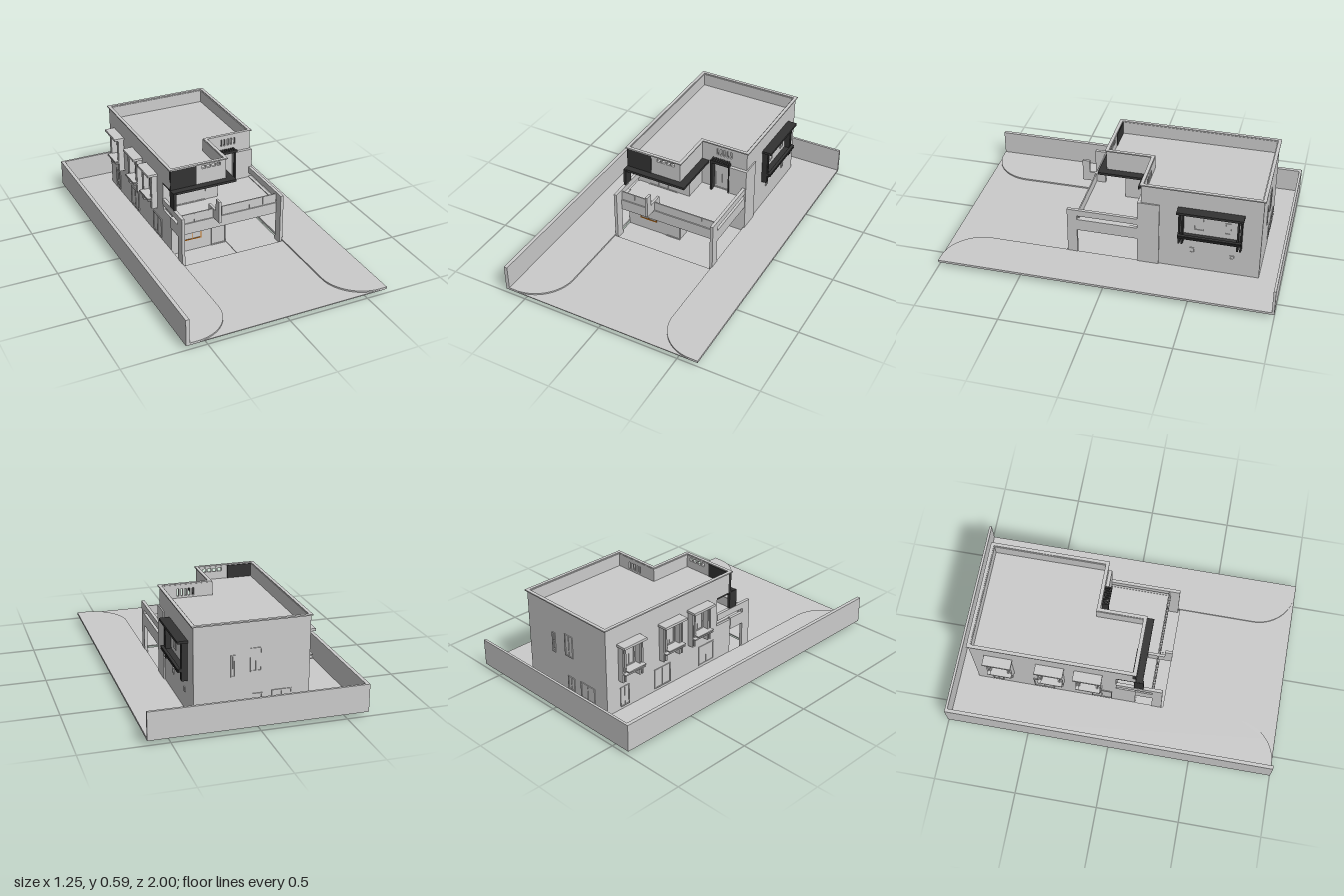
import * as THREE from 'three';

const grey = new THREE.MeshStandardMaterial({ color: 0xcccccc });
const dark = new THREE.MeshStandardMaterial({ color: 0x333333 });
const orange = new THREE.MeshStandardMaterial({ color: 0xc0701a });

export function createModel() {
  const root = new THREE.Group();

  function add(name, geo, mat = grey, parent = root) {
    const m = new THREE.Mesh(geo, mat);
    m.name = name;
    parent.add(m);
    return m;
  }
  // Box given by its limits
  function box(name, x0, x1, y0, y1, z0, z1, mat = grey, parent = root) {
    const g = new THREE.BoxGeometry(x1 - x0, y1 - y0, z1 - z0);
    g.translate((x0 + x1) / 2, (y0 + y1) / 2, (z0 + z1) / 2);
    return add(name, g, mat, parent);
  }
  // Plan outline (x, z) raised from y0 to y1
  function plan(name, shape, y0, y1) {
    const g = new THREE.ExtrudeGeometry(shape, { depth: y1 - y0, bevelEnabled: false, curveSegments: 16 });
    g.rotateX(-Math.PI / 2).translate(0, y0, 0);
    return add(name, g);
  }
  const pts = (list) => list.map(([x, z]) => new THREE.Vector2(x, -z));

  // Upright panel facing +z with rectangular openings [x0, x1, y0, y1]
  function piercedWall(name, x0, x1, y0, y1, z0, z1, holes) {
    const rect = (a, b, c, d) => [[a, c], [b, c], [b, d], [a, d]].map(([x, y]) => new THREE.Vector2(x, y));
    const s = new THREE.Shape(rect(x0, x1, y0, y1));
    for (const h of holes) s.holes.push(new THREE.Path(rect(...h)));
    const g = new THREE.ExtrudeGeometry(s, { depth: z1 - z0, bevelEnabled: false });
    add(name, g.translate(0, 0, z0));
  }

  // Framed window facing +z about its own centre, turned and placed on a wall
  function windowUnit(name, x, y, z, w, h, turn, mat = grey, panes = 2) {
    const g = new THREE.Group();
    g.name = name;
    const t = 0.006, d = 0.005;
    box('pane', -w / 2, w / 2, -h / 2, h / 2, -0.004, 0.001, grey, g);
    for (const s of [-1, 1]) {
      box('jamb', s * w / 2 - t / 2, s * w / 2 + t / 2, -h / 2, h / 2, -0.004, d, mat, g);
      box('rail', -w / 2 - t / 2, w / 2 + t / 2, s * h / 2 - t / 2, s * h / 2 + t / 2, -0.004, d, mat, g);
    }
    for (let i = 1; i < panes; i++) {
      const m = -w / 2 + (w * i) / panes;
      box('mullion', m - 0.002, m + 0.002, -h / 2, h / 2, -0.004, 0.004, mat, g);
    }
    g.position.set(x, y, z);
    g.rotation.y = turn;
    root.add(g);
  }

  // --- Site: driveway, raised lawn with rounded corners, boundary walls
  box('driveway', -0.627, 0.627, 0.027, 0.032, 0.29, 1);
  const lawn = new THREE.Shape();
  lawn.moveTo(-0.627, -1);
  lawn.lineTo(-0.56, -1);
  lawn.absarc(-0.56, -0.76, 0.24, -Math.PI / 2, 0, false);
  lawn.lineTo(-0.32, 0.87);
  lawn.lineTo(0.34, 0.87);
  lawn.lineTo(0.34, -0.76);
  lawn.absarc(0.58, -0.76, 0.24, Math.PI, Math.PI * 1.5, false);
  lawn.lineTo(0.627, -1);
  lawn.lineTo(0.627, 1);
  lawn.lineTo(-0.627, 1);
  lawn.closePath();
  plan('lawn', lawn, 0.027, 0.041);
  box('leftBoundaryWall', -0.627, -0.605, 0.035, 0.192, -1, 1);
  box('backBoundaryWall', -0.605, 0.627, 0.035, 0.192, -1, -0.985);

  // --- House volumes
  box('groundFloorLeft', -0.32, 0.04, 0, 0.265, -0.87, 0.115);
  box('rightWing', 0.04, 0.34, 0, 0.5, -0.87, -0.165);
  box('upperRoom', -0.32, 0.04, 0.265, 0.45, -0.87, 0);
  box('upperOverhang', -0.32, 0.04, 0.45, 0.5, -0.87, 0.115);
  box('cornerPier', 0.235, 0.348, 0.012, 0.46, -0.275, -0.145);

  // --- Roof parapet with pierced front panels
  box('parapetBack', -0.32, 0.34, 0.5, 0.58, -0.87, -0.855);
  box('parapetLeft', -0.32, -0.305, 0.5, 0.58, -0.855, 0.1);
  box('parapetRight', 0.325, 0.34, 0.5, 0.58, -0.855, -0.18);
  box('parapetInnerReturn', 0.025, 0.04, 0.5, 0.58, -0.18, 0.1);
  const squares = [-0.105, -0.073, -0.041, -0.009].map((x) => [x - 0.012, x + 0.012, 0.547, 0.568]);
  const slits = [0, 1, 2, 3, 4].map((i) => [0.138 + i * 0.0225, 0.149 + i * 0.0225, 0.511, 0.555]);
  piercedWall('parapetFrontLeft', -0.155, 0.04, 0.5, 0.58, 0.1, 0.115, squares);
  piercedWall('parapetFrontRight', 0.04, 0.34, 0.5, 0.58, -0.18, -0.165, slits);
  box('darkFrontPanel', -0.32, -0.155, 0.45, 0.58, 0.097, 0.118, dark);
  const cap = new THREE.Shape(pts([[-0.328, 0.122], [0.048, 0.122], [0.048, -0.158], [0.35, -0.158], [0.35, -0.88], [-0.328, -0.88]]));
  cap.holes.push(new THREE.Path(pts([[-0.308, 0.102], [0.028, 0.102], [0.028, -0.178], [0.33, -0.178], [0.33, -0.86], [-0.308, -0.86]])));
  plan('parapetCap', cap, 0.579, 0.586);

  // --- Dark canopy around the overhang, with its post
  box('canopyFront', -0.32, 0.088, 0.437, 0.452, 0.112, 0.158, dark);
  box('canopySide', 0.04, 0.088, 0.437, 0.452, -0.165, 0.112, dark);
  box('canopySoffit', -0.32, 0.04, 0.44, 0.452, 0, 0.112, dark);
  box('canopyPost', -0.322, -0.305, 0.335, 0.45, 0.107, 0.165, dark);

  // --- Carport and balcony
  box('carportFloorLeft', -0.32, 0.04, 0, 0.012, 0.115, 0.3);
  box('carportFloorRight', 0.04, 0.34, 0.008, 0.016, -0.165, 0.3);
  box('balconyDeck', -0.306, 0.326, 0.2, 0.27, -0.165, 0.225);
  for (const [s, x0, x1, back] of [['left', -0.324, -0.305, 0], ['right', 0.325, 0.344, -0.145]]) {
    box(s + 'FrameColumn', x0, x1, 0.012, 0.3, 0.22, 0.28);
    box(s + 'FrameTopBeam', x0, x1, 0.3, 0.34, back, 0.28);
    box(s + 'FrameDeckBeam', x0, x1, 0.2, 0.275, s === 'left' ? 0.115 : back, 0.22);
  }
  box('balconyRailing', -0.305, 0.325, 0.27, 0.328, 0.211, 0.218);
  for (const x of [-0.216, -0.126, -0.036, 0.147, 0.237]) {
    box('railingPost', x - 0.002, x + 0.002, 0.27, 0.325, 0.218, 0.221);
  }
  box('balconyFin', -0.095, -0.08, 0.27, 0.41, 0.255, 0.3);
  box('finArm', -0.095, -0.08, 0.27, 0.33, 0.155, 0.255);

  // --- Dark louvred frame over the balcony door
  for (let i = 0; i < 8; i++) {
    const x = 0.115 + i * 0.015;
    box('doorLouvre', x, x + 0.009, 0.478, 0.488, -0.165, -0.125, dark);
  }
  box('doorLouvreRail', 0.115, 0.235, 0.472, 0.49, -0.13, -0.122, dark);
  box('doorFramePost', 0.115, 0.128, 0.27, 0.478, -0.165, -0.125, dark);
  box('doorFramePost', 0.228, 0.235, 0.27, 0.478, -0.165, -0.14, dark);

  // --- Doors and windows
  windowUnit('frontWindow', -0.182, 0.143, 0.115, 0.108, 0.108, 0, orange);
  windowUnit('carportWindow', 0.178, 0.143, -0.165, 0.108, 0.108, 0, orange);
  windowUnit('frontDoor', -0.01, 0.11, 0.115, 0.09, 0.19, 0, grey, 1);
  windowUnit('balconyDoor', 0.178, 0.365, -0.165, 0.09, 0.18, 0, grey, 2);
  windowUnit('upperRoomDoor', -0.14, 0.35, 0, 0.2, 0.155, 0, grey, 3);
  const B = Math.PI, L = -Math.PI / 2, R = Math.PI / 2;
  for (const [x, y, w, h] of [[0.12, 0.335, 0.02, 0.12], [-0.01, 0.36, 0.06, 0.13], [-0.02, 0.12, 0.05, 0.08], [-0.16, 0.12, 0.11, 0.095]]) {
    windowUnit('backWindow', x, y, -0.87, w, h, B);
  }
  for (const [z, w] of [[-0.74, 0.06], [-0.45, 0.12], [-0.09, 0.12]]) {
    windowUnit('leftLowerWindow', -0.32, 0.12, z, w, 0.12, L);
  }
  for (const [z, y, w, h] of [[-0.505, 0.38, 0.05, 0.11], [-0.675, 0.36, 0.03, 0.07], [-0.47, 0.175, 0.02, 0.03], [-0.705, 0.16, 0.02, 0.02]]) {
    windowUnit('rightWindow', 0.34, y, z, w, h, R, grey, 1);
  }

  // --- Projecting window surrounds: hood, paired jambs, sill bars
  function surround(name, side, wall, z0, z1, mat, shelf) {
    const g = new THREE.Group();
    g.name = name;
    const bar = (n, out, y0, y1, a, b) =>
      box(n, Math.min(wall, wall + side * out), Math.max(wall, wall + side * out), y0, y1, a, b, mat, g);
    bar('hood', 0.062, 0.452, 0.467, z0, z1);
    for (const [a, b] of [[z0 + 0.008, z0 + 0.018], [z0 + 0.026, z0 + 0.036], [z1 - 0.036, z1 - 0.026], [z1 - 0.018, z1 - 0.008]]) {
      bar('jamb', 0.036, 0.232, 0.452, a, b);
    }
    if (shelf) bar('sillShelf', 0.062, 0.298, 0.305, z0 + 0.03, z1 - 0.01);
    else {
      const x = wall + side * 0.05;
      box('upperBar', x - 0.009, x + 0.009, 0.298, 0.305, z0 + 0.01, z1 - 0.01, mat, g);
      bar('barBracket', 0.05, 0.285, 0.305, z0 + 0.008, z0 + 0.018);
      bar('barBracket', 0.05, 0.285, 0.305, z1 - 0.018, z1 - 0.008);
    }
    bar('lowerBar', 0.058, 0.284, 0.291, z0 + 0.01, z1 - 0.01);
    root.add(g);
  }
  for (const z of [-0.79, -0.48, -0.25]) {
    surround('leftWindowSurround', -1, -0.32, z, z + 0.17, grey, true);
    windowUnit('leftUpperWindow', -0.32, 0.378, z + 0.085, 0.07, 0.14, L);
  }
  surround('rightWindowSurround', 1, 0.338, -0.768, -0.383, dark, false);

  return root;
}
